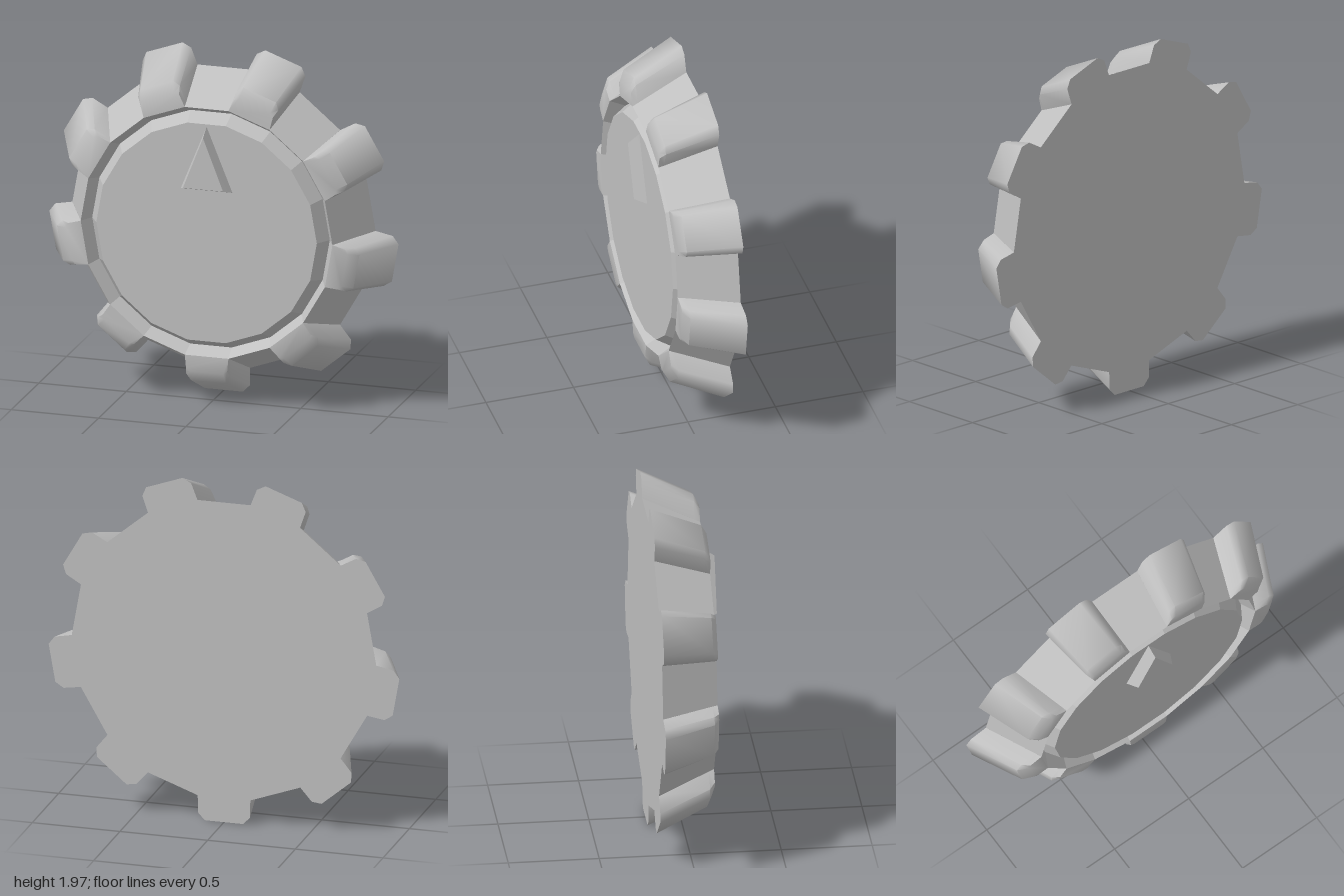
import * as THREE from 'three';
import { toCreasedNormals } from 'three/addons/utils/BufferGeometryUtils.js';

const CENTRE_Y = 0.996, BACK = -0.19, FRONT = 0.125;
const TEETH = 9, SIDES = 18;

// Skins a stack of convex outlines (back to front, each counter-clockwise) and caps both ends
function loft(sections, crease) {
  const n = sections[0].points.length;
  const positions = [], index = [];
  for (const { z, points } of sections) {
    for (const [x, y] of points) positions.push(x, y, z);
  }
  for (let s = 0; s < sections.length - 1; s++) {
    for (let j = 0; j < n; j++) {
      const k = (j + 1) % n, a = s * n, b = a + n;
      index.push(a + j, a + k, b + k, a + j, b + k, b + j);
    }
  }
  const last = (sections.length - 1) * n;
  for (let j = 1; j < n - 1; j++) {
    index.push(0, j + 1, j);
    index.push(last, last + j, last + j + 1);
  }
  const geometry = new THREE.BufferGeometry();
  geometry.setAttribute('position', new THREE.Float32BufferAttribute(positions, 3));
  geometry.setIndex(index);
  return toCreasedNormals(geometry, crease);
}

// Regular outline with a flat side at the top, sized by its apothem
function ring(z, apothem) {
  const points = [];
  const radius = apothem / Math.cos(Math.PI / SIDES);
  for (let i = 0; i < SIDES; i++) {
    const a = Math.PI / 2 + (i + 0.5) * 2 * Math.PI / SIDES;
    points.push([radius * Math.cos(a), radius * Math.sin(a)]);
  }
  return { z, points };
}

// Outline of an upright grip tooth with clipped outer corners
function toothSection(z, base, baseHalf, shoulder, half, tip, tipHalf) {
  return {
    z,
    points: [
      [-baseHalf, base], [baseHalf, base], [half, shoulder],
      [tipHalf, tip], [-tipHalf, tip], [-half, shoulder],
    ],
  };
}

export function createModel() {
  const model = new THREE.Group();
  model.name = 'controlKnob';
  const grey = new THREE.MeshStandardMaterial({ color: 0xc0c0c0 });
  grey.name = 'grey';

  const knob = new THREE.Group();
  knob.name = 'knob';
  knob.position.y = CENTRE_Y;
  model.add(knob);

  const add = (name, geometry) => {
    const mesh = new THREE.Mesh(geometry, grey);
    mesh.name = name;
    knob.add(mesh);
    return mesh;
  };

  // Tapered body with a V groove around the flat dial face
  add('body', loft([
    ring(BACK, 0.855),
    ring(FRONT, 0.71),
    ring(FRONT - 0.08, 0.67),
    ring(FRONT, 0.622),
  ], 0.1));

  // Grip teeth, softly bevelled, with one pointing straight down
  const tooth = loft([
    toothSection(BACK, 0.855, 0.15, 0.955, 0.148, 0.996, 0.11),
    toothSection(0.095, 0.724, 0.128, 0.825, 0.127, 0.862, 0.1),
    toothSection(FRONT, 0.71, 0.125, 0.785, 0.118, 0.802, 0.095),
  ], 0.9);
  for (let i = 0; i < TEETH; i++) {
    add('gripTooth', tooth).rotation.z = Math.PI + i * 2 * Math.PI / TEETH;
  }

  // Raised triangular pointer
  add('pointer', loft([
    { z: FRONT - 0.005, points: [[-0.15, 0.242], [0.15, 0.242], [0, 0.612]] },
    { z: 0.19, points: [[-0.115, 0.267], [0.115, 0.267], [0, 0.562]] },
  ], 0.1));

  return model;
}
